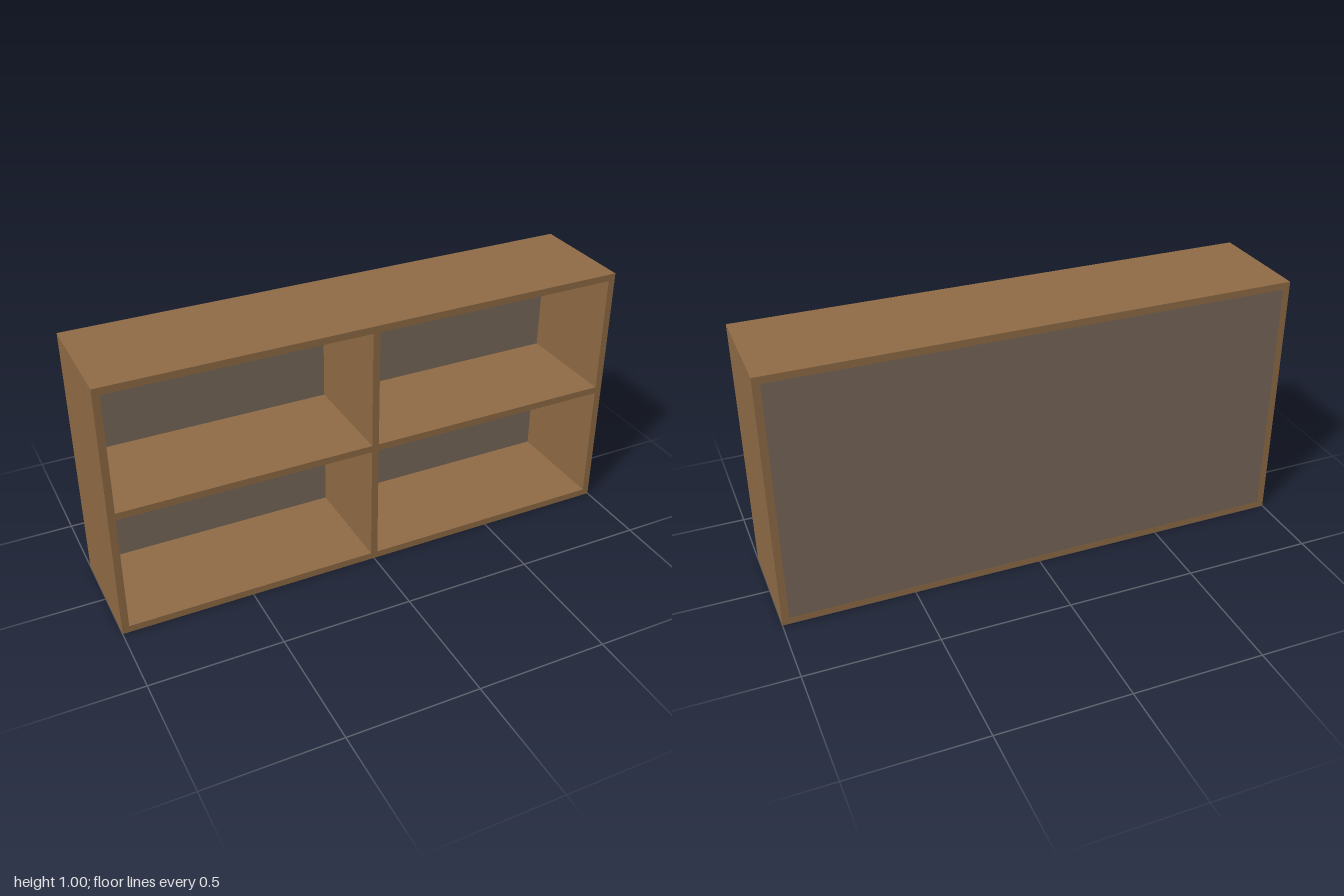
import * as THREE from 'three';

export function createModel() {
  const group = new THREE.Group();
  group.name = 'shelfUnit';
  const wood = new THREE.MeshStandardMaterial({ name: 'brown wood', color: 0x916d46 });
  const backing = new THREE.MeshStandardMaterial({ name: 'grey-brown backing', color: 0x7a695b });

  const W = 2, H = 1, D = 0.427; // overall size
  const T = 0.027;               // board thickness
  const B = 0.012;               // backing thickness

  function board(name, w, h, d, x, y, z, material = wood) {
    const mesh = new THREE.Mesh(new THREE.BoxGeometry(w, h, d), material);
    mesh.name = name;
    mesh.position.set(x, y, z);
    group.add(mesh);
  }

  // Outer case: the sides run full height, top and bottom fit between them
  const innerW = W - 2 * T, innerH = H - 2 * T;
  board('leftSide', T, H, D, W / 2 - T / 2, H / 2, 0);
  board('rightSide', T, H, D, -W / 2 + T / 2, H / 2, 0);
  board('topBoard', innerW, T, D, 0, H - T / 2, 0);
  board('bottomBoard', innerW, T, D, 0, T / 2, 0);

  // Back panel, flush with the rear edges of the case
  board('backPanel', innerW, innerH, B, 0, H / 2, -D / 2 + B / 2, backing);

  // Central divider and one shelf on each side of it
  const innerD = D - B;
  board('divider', T, innerH, innerD, 0, H / 2, B / 2);
  const shelfW = (innerW - T) / 2;
  for (const [name, side] of [['leftShelf', 1], ['rightShelf', -1]]) {
    board(name, shelfW, T, innerD, side * (T / 2 + shelfW / 2), 0.503, B / 2);
  }
  return group;
}
